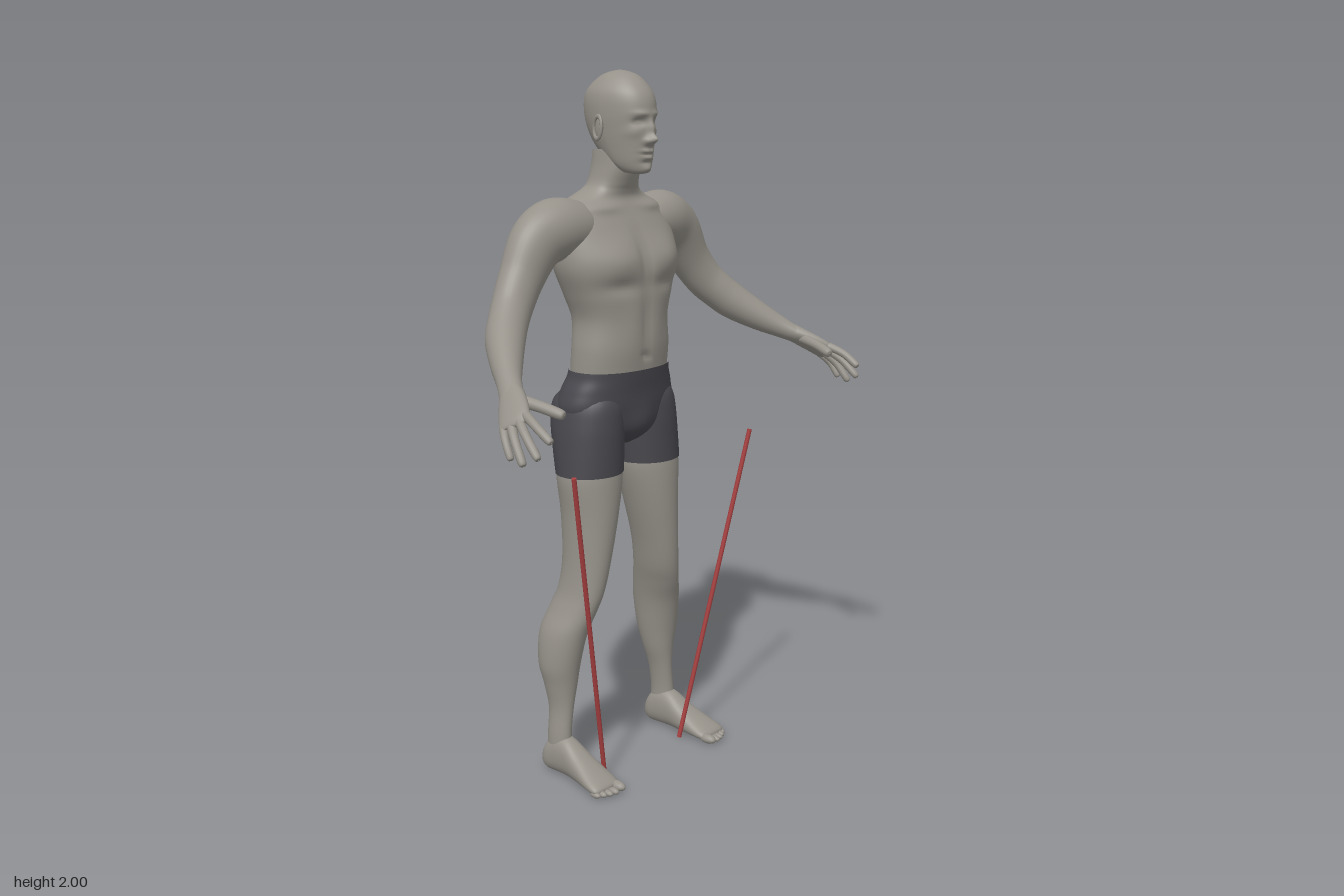
import * as THREE from 'three';

const V = (x, y, z) => new THREE.Vector3(x, y, z);
const AX = V(1, 0, 0), AY = V(0, 1, 0), AZ = V(0, 0, 1);

const skin = new THREE.MeshStandardMaterial({ color: 0x96928a });
skin.name = 'skin grey';
const cloth = new THREE.MeshStandardMaterial({ color: 0x48474d });
cloth.name = 'shorts charcoal';
const red = new THREE.MeshStandardMaterial({ color: 0xa84040 });
red.name = 'rod red';

// Smooth skin over elliptical rings [x, y, z, a, b]; a lies along ref, b across it.
// A fixed tangent keeps all rings parallel; sculpt may move each vertex.
function loft(rings, { ref = AZ, tangent = null, segs = 32, rows = 40, power = 2, sculpt = null } = {}) {
  const path = new THREE.CatmullRomCurve3(rings.map(r => V(r[0], r[1], r[2])), false, 'catmullrom', 0.5);
  const radii = new THREE.CatmullRomCurve3(rings.map(r => V(r[3], r[4], 0)), false, 'catmullrom', 0.5);
  const pos = [], index = [];
  const round = c => Math.sign(c) * Math.abs(c) ** (2 / power);
  for (let i = 0; i <= rows; i++) {
    const c = path.getPoint(i / rows), r = radii.getPoint(i / rows);
    const t = tangent || path.getTangent(i / rows);
    const u = ref.clone().addScaledVector(t, -ref.dot(t)).normalize();
    const v = t.clone().cross(u);
    for (let j = 0; j < segs; j++) {
      const th = j / segs * Math.PI * 2;
      const p = c.clone().addScaledVector(u, Math.max(r.x, 0.0005) * round(Math.cos(th)))
        .addScaledVector(v, Math.max(r.y, 0.0005) * round(Math.sin(th)));
      if (sculpt) sculpt(p, -Math.sin(th));
      pos.push(p.x, p.y, p.z);
      if (i < rows) {
        const a = i * segs + j, b = i * segs + (j + 1) % segs;
        index.push(a, b, a + segs, b, b + segs, a + segs);
      }
    }
  }
  const g = new THREE.BufferGeometry();
  g.setAttribute('position', new THREE.Float32BufferAttribute(pos, 3));
  g.setIndex(index);
  g.computeVertexNormals();
  return g;
}

// Horizontal sections, bottom to top: [y, centre x, half width, front z, back z]
const stack = (rows, opts) => loft(
  rows.map(([y, x, w, f, b]) => [x, y, (f + b) / 2, w, (f - b) / 2]),
  { ref: AX, tangent: AY, ...opts });

// Mirrored soft bumps: [x, y, spread x, spread y, push in z, side (+1 front, -1 back)]
const bumps = list => (p, facing) => {
  let dz = 0;
  for (const [x, y, sx, sy, push, side] of list) {
    const w = Math.min(1, Math.max(0, facing * side * 2));
    dz += push * w * Math.exp(-(((Math.abs(p.x) - x) / sx) ** 2) - ((p.y - y) / sy) ** 2);
  }
  p.z += dz;
};

function mirror(geo) {
  const g = geo.clone().scale(-1, 1, 1);
  const ix = g.index.array;
  for (let i = 0; i < ix.length; i += 3) [ix[i], ix[i + 1]] = [ix[i + 1], ix[i]];
  g.computeVertexNormals();
  return g;
}

export function createModel() {
  const model = new THREE.Group();
  model.name = 'standingFigure';
  const add = (name, geo, mat = skin) => {
    const m = new THREE.Mesh(geo, mat);
    m.name = name;
    model.add(m);
  };
  const pair = (name, geo, mat) => {
    add('left' + name, geo, mat);
    add('right' + name, mirror(geo), mat);
  };

  // Torso and neck, with chest, navel, shoulder blades and spine groove
  add('torso', stack([
    [1.16, 0, 0.160, -0.022, -0.218], [1.19, 0, 0.162, -0.018, -0.219],
    [1.25, 0, 0.161, -0.012, -0.215], [1.33, 0, 0.156, -0.012, -0.217],
    [1.40, 0, 0.180, -0.010, -0.232], [1.47, 0, 0.208, -0.010, -0.246],
    [1.53, 0, 0.215, -0.026, -0.255], [1.59, 0, 0.212, -0.053, -0.255],
    [1.635, 0, 0.182, -0.076, -0.245], [1.66, 0, 0.128, -0.086, -0.232],
    [1.68, 0, 0.090, -0.083, -0.217], [1.70, 0, 0.073, -0.075, -0.205],
    [1.74, 0, 0.064, -0.062, -0.197], [1.79, 0, 0.060, -0.060, -0.190],
  ], {
    segs: 72, rows: 90, power: 2.25, sculpt: bumps([
      [0.095, 1.50, 0.07, 0.05, 0.016, 1], [0, 1.50, 0.018, 0.07, -0.010, 1],
      [0.09, 1.425, 0.06, 0.02, -0.008, 1], [0, 1.32, 0.012, 0.09, -0.006, 1],
      [0.045, 1.32, 0.03, 0.08, 0.004, 1], [0, 1.225, 0.010, 0.010, -0.010, 1],
      [0.10, 1.635, 0.06, 0.014, 0.008, 1],
      [0, 1.40, 0.022, 0.20, 0.014, -1], [0.09, 1.56, 0.05, 0.07, -0.015, -1],
      [0.05, 1.30, 0.03, 0.10, -0.006, -1],
    ]),
  }));

  // Head, with face modelled by bumps
  const face = bumps([
    [0, 1.817, 0.012, 0.013, 0.026, 1], [0, 1.845, 0.010, 0.022, 0.014, 1],
    [0.014, 1.812, 0.008, 0.008, 0.009, 1], [0.031, 1.863, 0.016, 0.011, -0.013, 1],
    [0.031, 1.862, 0.008, 0.005, 0.004, 1], [0.026, 1.885, 0.022, 0.008, 0.005, 1],
    [0.048, 1.835, 0.016, 0.014, 0.004, 1], [0.008, 1.786, 0.014, 0.005, 0.008, 1],
    [0, 1.778, 0.022, 0.003, -0.006, 1], [0, 1.769, 0.016, 0.006, 0.008, 1],
    [0, 1.756, 0.022, 0.006, -0.004, 1], [0, 1.738, 0.016, 0.010, 0.006, 1],
  ]);
  add('head', stack([
    [1.725, 0, 0.015, -0.030, -0.060], [1.731, 0, 0.036, -0.014, -0.095],
    [1.755, 0, 0.054, -0.008, -0.140], [1.80, 0, 0.067, -0.003, -0.185],
    [1.84, 0, 0.075, 0.000, -0.210], [1.88, 0, 0.080, 0.003, -0.222],
    [1.92, 0, 0.080, -0.001, -0.223], [1.95, 0, 0.072, -0.016, -0.211],
    [1.98, 0, 0.050, -0.047, -0.176], [1.994, 0, 0.027, -0.078, -0.144],
    [2.00, 0, 0.001, -0.109, -0.111],
  ], {
    segs: 112, rows: 110, sculpt: (p, facing) => {
      if (facing > 0) p.x *= 1 - 0.12 * facing * (1 - facing);
      face(p, facing);
    },
  }));

  // Ears: flat lobe with a rim
  const place = g => g.rotateX(0.15).rotateY(0.25).translate(0.081, 1.848, -0.112);
  pair('Ear', place(new THREE.SphereGeometry(1, 16, 12).scale(0.007, 0.031, 0.018)));
  pair('EarRim', place(new THREE.TorusGeometry(0.02, 0.0045, 8, 24).rotateY(Math.PI / 2)
    .scale(1, 1.5, 0.95).translate(0.005, 0, 0)));

  // Shorts: hips with buttocks, then legs
  add('shortsHips', stack([
    [0.965, 0, 0.020, -0.090, -0.160], [0.985, 0, 0.085, -0.060, -0.200],
    [1.02, 0, 0.165, -0.037, -0.232], [1.08, 0, 0.200, -0.027, -0.244],
    [1.13, 0, 0.189, -0.022, -0.238], [1.165, 0, 0.172, -0.017, -0.228],
    [1.188, 0, 0.166, -0.014, -0.223],
  ], {
    segs: 64, rows: 40, power: 2.25, sculpt: bumps([
      [0.085, 1.07, 0.055, 0.06, -0.014, -1], [0, 1.05, 0.016, 0.08, 0.024, -1],
      [0, 1.03, 0.04, 0.05, 0.010, 1],
    ]),
  }), cloth);
  pair('ShortsLeg', stack([
    [0.898, 0.120, 0.101, -0.030, -0.216], [0.97, 0.115, 0.101, -0.029, -0.234],
    [1.04, 0.110, 0.098, -0.028, -0.250], [1.10, 0.105, 0.088, -0.034, -0.248],
    [1.15, 0.100, 0.055, -0.065, -0.195],
  ], { rows: 24 }), cloth);

  // Bare legs from ankle to thigh
  pair('Leg', stack([
    [0.05, 0.225, 0.031, -0.108, -0.196], [0.12, 0.226, 0.029, -0.113, -0.192],
    [0.20, 0.217, 0.031, -0.113, -0.195], [0.27, 0.212, 0.045, -0.108, -0.211],
    [0.34, 0.211, 0.058, -0.098, -0.229], [0.43, 0.200, 0.061, -0.080, -0.234],
    [0.50, 0.178, 0.055, -0.058, -0.218], [0.56, 0.160, 0.054, -0.044, -0.200],
    [0.65, 0.145, 0.060, -0.035, -0.193], [0.78, 0.128, 0.079, -0.030, -0.203],
    [0.88, 0.121, 0.097, -0.032, -0.213], [0.94, 0.118, 0.095, -0.040, -0.215],
  ], { rows: 60 }));

  // Feet run heel to toe, then five toes
  pair('Foot', loft([
    [0.225, 0.035, -0.214, 0.003, 0.003], [0.225, 0.038, -0.206, 0.022, 0.026],
    [0.225, 0.050, -0.185, 0.034, 0.048], [0.225, 0.061, -0.150, 0.036, 0.059],
    [0.226, 0.060, -0.110, 0.037, 0.057], [0.228, 0.045, -0.060, 0.043, 0.042],
    [0.233, 0.029, 0.000, 0.050, 0.026], [0.236, 0.021, 0.035, 0.050, 0.017],
    [0.236, 0.018, 0.050, 0.040, 0.010], [0.236, 0.018, 0.054, 0.002, 0.002],
  ], { ref: AX, tangent: AZ, power: 2.3 }));
  [[0.202, 0.060, 0.016], [0.226, 0.066, 0.0105], [0.245, 0.062, 0.010],
    [0.262, 0.054, 0.010], [0.277, 0.044, 0.010]].forEach(([x, z, r], i) =>
    pair('Toe' + (i + 1), new THREE.SphereGeometry(r, 14, 10).scale(1, 0.9, 1.9)
      .translate(x, r * 0.9 + 0.002, z - r * 0.4)));

  // Arms from inside the chest to the wrist
  pair('Arm', loft([
    [0.110, 1.580, -0.150, 0.070, 0.065], [0.170, 1.585, -0.152, 0.080, 0.078],
    [0.225, 1.580, -0.155, 0.080, 0.084], [0.285, 1.545, -0.156, 0.067, 0.079],
    [0.340, 1.465, -0.152, 0.056, 0.066], [0.388, 1.400, -0.136, 0.052, 0.060],
    [0.428, 1.358, -0.112, 0.052, 0.056], [0.468, 1.320, -0.080, 0.052, 0.053],
    [0.520, 1.275, -0.020, 0.042, 0.042], [0.560, 1.243, 0.032, 0.033, 0.031],
    [0.592, 1.217, 0.076, 0.032, 0.022],
  ], { rows: 60 }));

  // Hands: flat palm, four fingers, thumb
  const across = V(-0.40, 0.47, 0.79).normalize();
  pair('Palm', loft([
    [0.575, 1.231, 0.055, 0.028, 0.024], [0.597, 1.213, 0.083, 0.036, 0.021],
    [0.622, 1.192, 0.114, 0.042, 0.018], [0.642, 1.174, 0.138, 0.043, 0.015],
    [0.651, 1.166, 0.149, 0.036, 0.008], [0.653, 1.164, 0.151, 0.002, 0.002],
  ], { ref: across, rows: 28, power: 2.3 }));
  const digit = (name, pts, r) => pair(name, loft(
    [...pts.map((p, i) => [...p.toArray(), r * (1 - 0.1 * i), r * (1 - 0.1 * i)]),
      [...pts[2].clone().lerp(pts[1], -0.16).toArray(), 0.001, 0.001]],
    { ref: across, segs: 14, rows: 20 }));
  const tips = [V(0.640, 1.143, 0.256), V(0.665, 1.106, 0.238), V(0.677, 1.087, 0.200), V(0.680, 1.094, 0.162)];
  ['IndexFinger', 'MiddleFinger', 'RingFinger', 'LittleFinger'].forEach((name, i) => {
    const base = V(0.641, 1.175, 0.137).addScaledVector(across, 0.033 - i * 0.022);
    const mid = base.clone().lerp(tips[i], 0.5).add(V(0.006, 0.004, 0.002));
    digit(name, [base, mid, tips[i]], i === 3 ? 0.011 : 0.0125);
  });
  digit('Thumb', [V(0.588, 1.212, 0.095), V(0.572, 1.200, 0.160), V(0.556, 1.186, 0.212)], 0.016);

  // Slanted thin rods beside the legs
  const low = V(0.166, 0.008, -0.03), high = V(0.371, 0.962, 0.065);
  const dir = high.clone().sub(low);
  pair('Rod', new THREE.CylinderGeometry(0.0068, 0.0068, dir.length(), 12)
    .applyQuaternion(new THREE.Quaternion().setFromUnitVectors(AY, dir.clone().normalize()))
    .translate(...low.clone().add(high).multiplyScalar(0.5).toArray()), red);

  return model;
}
